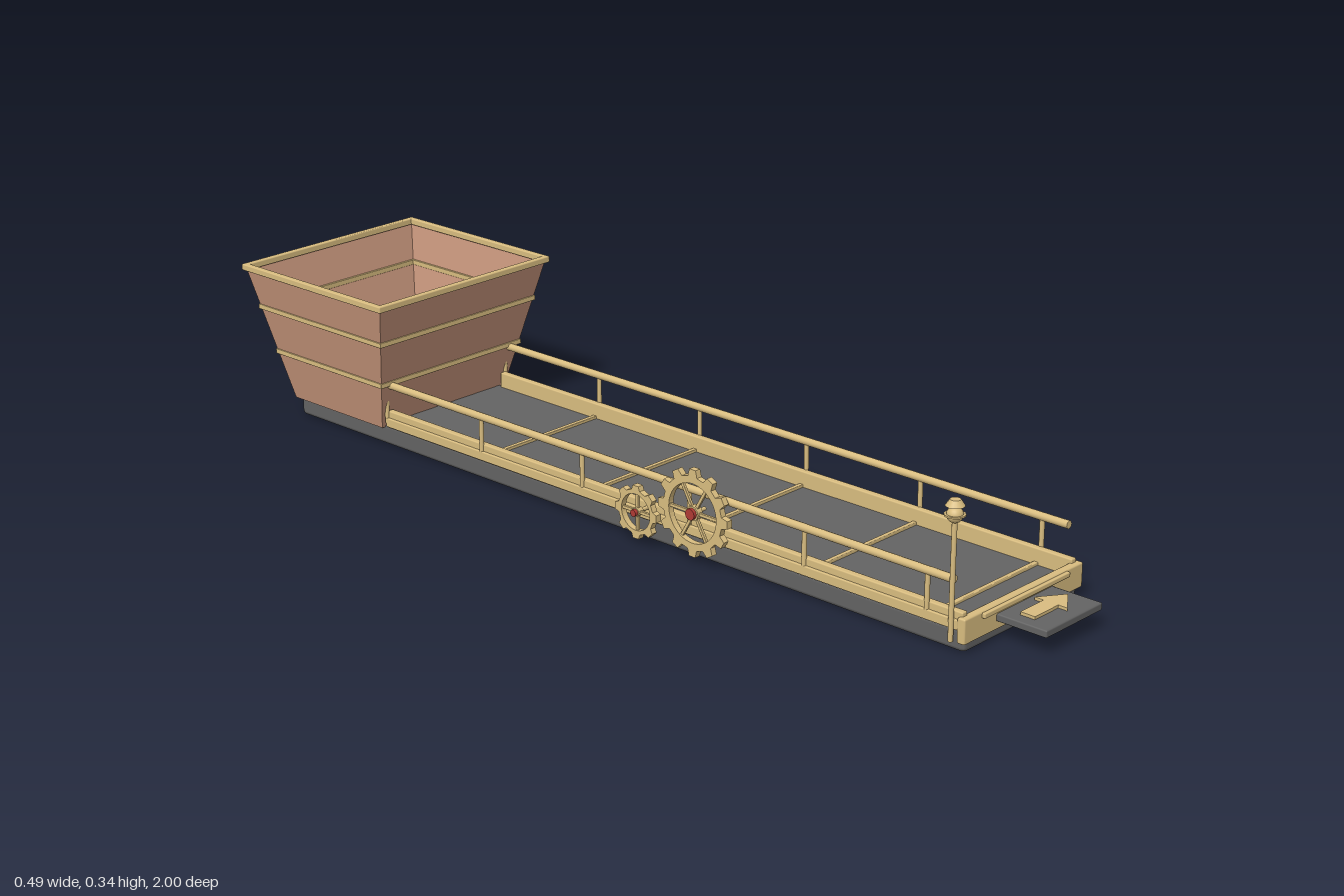
import * as THREE from 'three';
import { RoundedBoxGeometry } from 'three/addons/geometries/RoundedBoxGeometry.js';

const mat = (color, side = THREE.FrontSide) =>
  new THREE.MeshStandardMaterial({ color, side, flatShading: false });

export function createModel() {
  const model = new THREE.Group();
  const gold = mat(0xd9bd80), dark = mat(0x636363), red = mat(0xb03a34);
  const copper = mat(0xc8967c, THREE.DoubleSide);

  const add = (name, geo, material, x = 0, y = 0, z = 0, parent = model) => {
    const mesh = new THREE.Mesh(geo, material);
    mesh.name = name;
    mesh.position.set(x, y, z);
    parent.add(mesh);
    return mesh;
  };
  const block = (w, h, d) => new RoundedBoxGeometry(w, h, d, 1, Math.min(w, h, d) * 0.2);
  const rod = (r, len) => new THREE.CylinderGeometry(r, r, len, 12);

  // Conveyor bed
  add('base', block(0.34, 0.045, 1.795), dark, 0, 0.0225, -0.0125);

  // Side boards, handrails and posts
  const stations = [0.8, 0.514, 0.228, -0.058, -0.344, -0.63];
  for (const side of [1, -1]) {
    add('sideBoard', block(0.015, 0.037, 1.51), gold, side * 0.1635, 0.0595, 0.125);
    add('sideTrim', block(0.012, 0.02, 1.51), gold, side * 0.17, 0.053, 0.125);
    add('handrail', rod(0.008, 1.75), gold, side * 0.171, 0.137, -0.015).rotation.x = Math.PI / 2;
    for (const z of stations) {
      add('railPost', rod(0.005, 0.085), gold, side * 0.171, 0.0945, z);
    }
  }

  // Slats across the bed
  for (const z of stations.slice(0, 5)) {
    add('crossSlat', block(0.33, 0.008, 0.01), gold, 0, 0.047, z);
  }

  // Front board with a ledge and a tongue carrying a direction arrow
  add('frontBoard', block(0.357, 0.05, 0.018), gold, 0, 0.045, 0.882);
  add('frontLedge', block(0.257, 0.01, 0.012), gold, 0, 0.0625, 0.892);
  add('tongue', block(0.17, 0.015, 0.12), dark, 0, 0.0445, 0.94);
  const arrow = new THREE.Shape([
    [-0.06, -0.016], [0.01, -0.016], [0.01, -0.036], [0.062, 0],
    [0.01, 0.036], [0.01, 0.016], [-0.06, 0.016],
  ].map(([x, y]) => new THREE.Vector2(x, y)));
  const arrowGeo = new THREE.ExtrudeGeometry(arrow, { depth: 0.006, bevelEnabled: false });
  add('arrow', arrowGeo, gold, 0, 0.052, 0.94).rotation.x = -Math.PI / 2;

  // Lamp on a pole at the front corner
  const lamp = new THREE.Group();
  lamp.name = 'lamp';
  lamp.position.set(-0.178, 0, 0.86);
  model.add(lamp);
  add('lampPole', rod(0.005, 0.23), gold, 0, 0.135, 0, lamp);
  add('lampGlobe', new THREE.SphereGeometry(0.0155, 20, 14), gold, 0, 0.262, 0, lamp);
  add('lampCollar', rod(0.02, 0.003), gold, 0, 0.262, 0, lamp);
  add('lampCap', new THREE.CylinderGeometry(0.01, 0.018, 0.012, 16), gold, 0, 0.285, 0, lamp);

  // Hopper: a square tube, its corners pushed out to a flared rectangle
  const hopper = new THREE.Group();
  hopper.name = 'hopper';
  hopper.position.z = -0.78;
  model.add(hopper);
  const y0 = 0.038, y1 = 0.33;
  const halfX = (y) => THREE.MathUtils.mapLinear(y, y0, y1, 0.177, 0.237);
  const halfZ = (y) => THREE.MathUtils.mapLinear(y, y0, y1, 0.139, 0.213);
  const walls = new THREE.CylinderGeometry(1, 1, 1, 4, 1, true, Math.PI / 4).toNonIndexed();
  const p = walls.attributes.position;
  for (let i = 0; i < p.count; i++) {
    const y = p.getY(i) > 0 ? y1 : y0;
    p.setXYZ(i, Math.sign(p.getX(i)) * halfX(y), y, Math.sign(p.getZ(i)) * halfZ(y));
  }
  walls.computeVertexNormals();
  add('hopperWalls', walls, copper, 0, 0, 0, hopper);

  // Rim and two bands around the hopper
  const frame = (name, y, h, t) => {
    const a = halfX(y), b = halfZ(y);
    for (const s of [1, -1]) {
      add(name, block(2 * a + t, h, t), gold, 0, y, s * b, hopper);
      add(name, block(t, h, 2 * b + t), gold, s * a, y, 0, hopper);
    }
  };
  frame('hopperRim', 0.33, 0.014, 0.013);
  frame('hopperBand', 0.243, 0.011, 0.007);
  frame('hopperBand', 0.143, 0.011, 0.007);

  // Toothed wheels on the right side
  const gear = (name, radius, teeth, spokes, x, y, z) => {
    const g = new THREE.Group();
    g.name = name;
    g.position.set(x, y, z);
    g.rotation.y = Math.PI / 2;
    model.add(g);
    const depth = 0.013, root = radius * 0.84;
    const outline = [];
    for (let i = 0; i < teeth; i++) {
      for (const [f, r] of [[-0.3, root], [-0.17, radius], [0.17, radius], [0.3, root]]) {
        const a = ((i + f) / teeth) * Math.PI * 2;
        outline.push(new THREE.Vector2(Math.cos(a) * r, Math.sin(a) * r));
      }
    }
    const shape = new THREE.Shape(outline);
    shape.holes.push(new THREE.Path().absarc(0, 0, radius * 0.68, 0, Math.PI * 2, true));
    const ring = new THREE.ExtrudeGeometry(shape, { depth, bevelEnabled: false, curveSegments: 24 });
    add('gearRing', ring, gold, 0, 0, -depth / 2, g);
    for (let i = 0; i < spokes; i++) {
      const a = (i / spokes) * Math.PI;
      add('gearSpoke', block(radius * 1.45, 0.007, 0.006), gold, 0, 0, 0, g).rotation.z = a;
    }
    add('gearBoss', rod(radius * 0.17, 0.014), gold, 0, 0, 0, g).rotation.x = Math.PI / 2;
    add('gearHub', rod(radius * 0.13, 0.022), red, 0, 0, -0.003, g).rotation.x = Math.PI / 2;
    add('gearAxle', rod(0.004, 0.03), gold, 0, 0, 0.014, g).rotation.x = Math.PI / 2;
  };
  gear('largeGear', 0.089, 12, 3, -0.19, 0.101, 0.258);
  gear('smallGear', 0.055, 8, 2, -0.198, 0.067, 0.118);

  return model;
}
